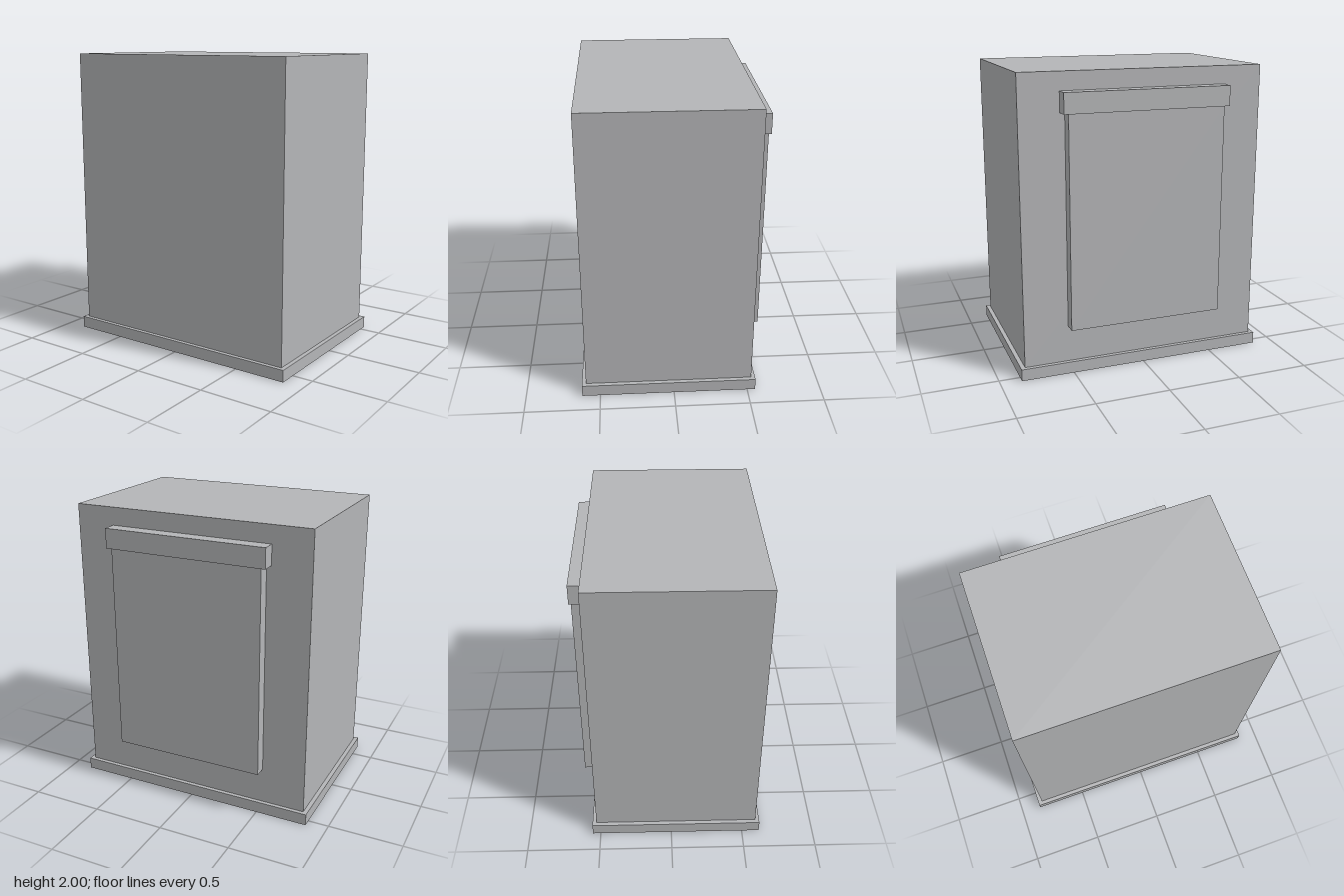
import * as THREE from 'three';

export function createModel() {
  const group = new THREE.Group();
  group.name = 'cabinet';

  const grey = new THREE.MeshStandardMaterial({ color: 0xb4b5b7 });
  grey.name = 'light grey';

  // Box from half width, bottom, top, back and front
  const addBox = (name, halfWidth, y0, y1, z0, z1) => {
    const mesh = new THREE.Mesh(new THREE.BoxGeometry(halfWidth * 2, y1 - y0, z1 - z0), grey);
    mesh.position.set(0, (y0 + y1) / 2, (z0 + z1) / 2);
    mesh.name = name;
    group.add(mesh);
  };

  const bodyBack = -0.528;
  addBox('plinth', 0.858, 0, 0.08, -0.555, 0.622);
  addBox('body', 0.829, 0.08, 2, bodyBack, 0.595);
  // Raised panel on the back with a wider rail along its top
  addBox('backPanel', 0.53, 0.328, 1.746, -0.61, bodyBack);
  addBox('topRail', 0.562, 1.746, 1.88, -0.622, bodyBack);

  return group;
}
